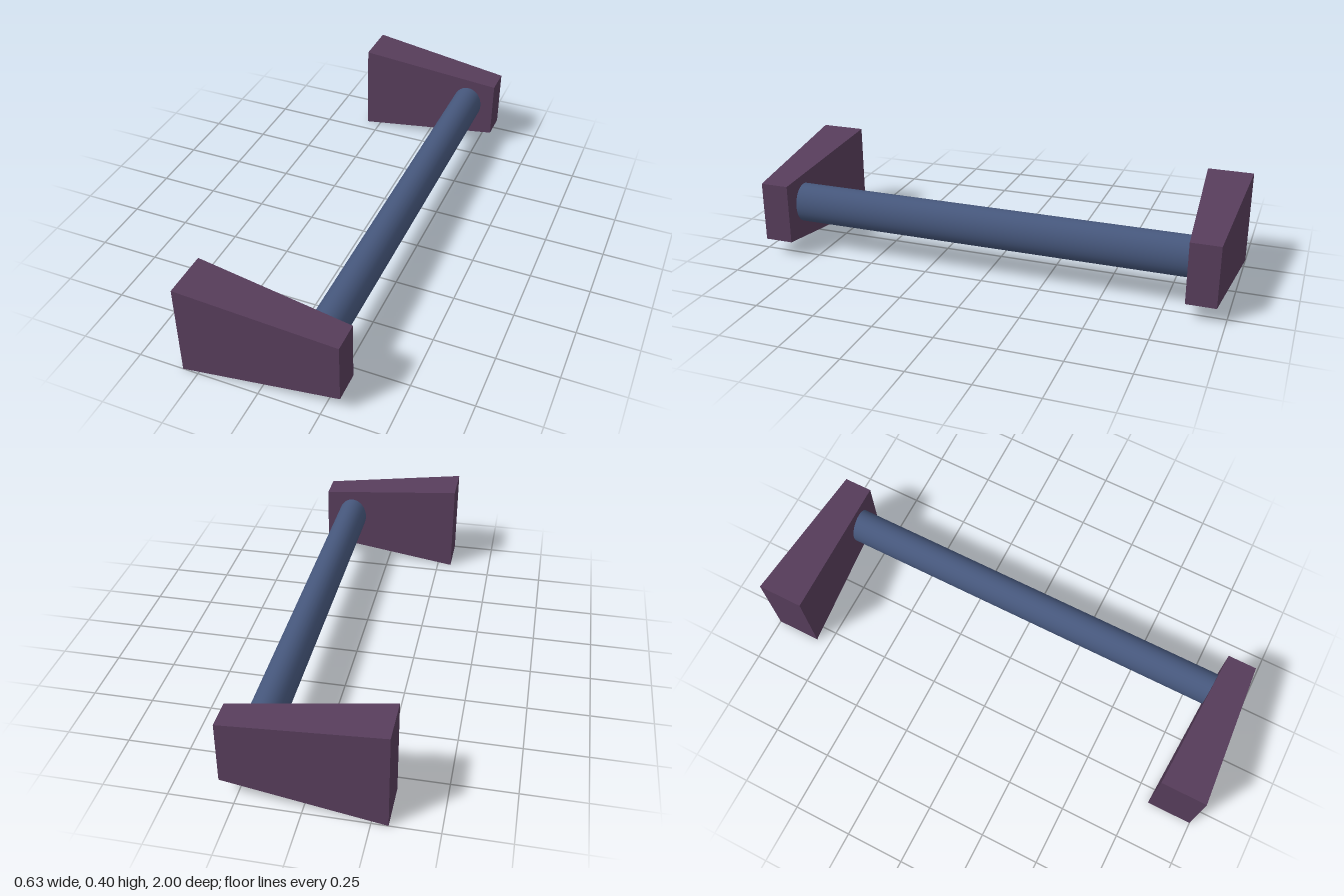
import * as THREE from 'three';

// Box tapering along x from a large wall end to a small front end
function taperedBlock() {
  const g = new THREE.BoxGeometry(0.626, 0.397, 0.19);
  const p = g.attributes.position;
  for (let i = 0; i < p.count; i++) {
    if (p.getX(i) > 0) {
      p.setY(i, Math.sign(p.getY(i)) * 0.127);
      p.setZ(i, Math.sign(p.getZ(i)) * 0.06);
    }
  }
  const flat = g.toNonIndexed();
  flat.computeVertexNormals();
  return flat;
}

export function createModel() {
  const group = new THREE.Group();
  const purple = new THREE.MeshStandardMaterial({ color: 0x573d5b });
  purple.name = 'plum';
  const blue = new THREE.MeshStandardMaterial({ color: 0x46577c });
  blue.name = 'slateBlue';

  // Mirrored end brackets
  const block = taperedBlock();
  for (const side of [1, -1]) {
    const bracket = new THREE.Mesh(block, purple);
    bracket.name = side > 0 ? 'frontBracket' : 'backBracket';
    bracket.position.set(0, 0.1985, side * 0.905);
    group.add(bracket);
  }

  // Oval rail running between the brackets
  const railGeometry = new THREE.CylinderGeometry(1, 1, 1.74, 32);
  railGeometry.rotateX(Math.PI / 2);
  railGeometry.scale(0.067, 0.085, 1);
  const rail = new THREE.Mesh(railGeometry, blue);
  rail.name = 'rail';
  rail.position.set(0.188, 0.214, 0);
  group.add(rail);

  return group;
}
